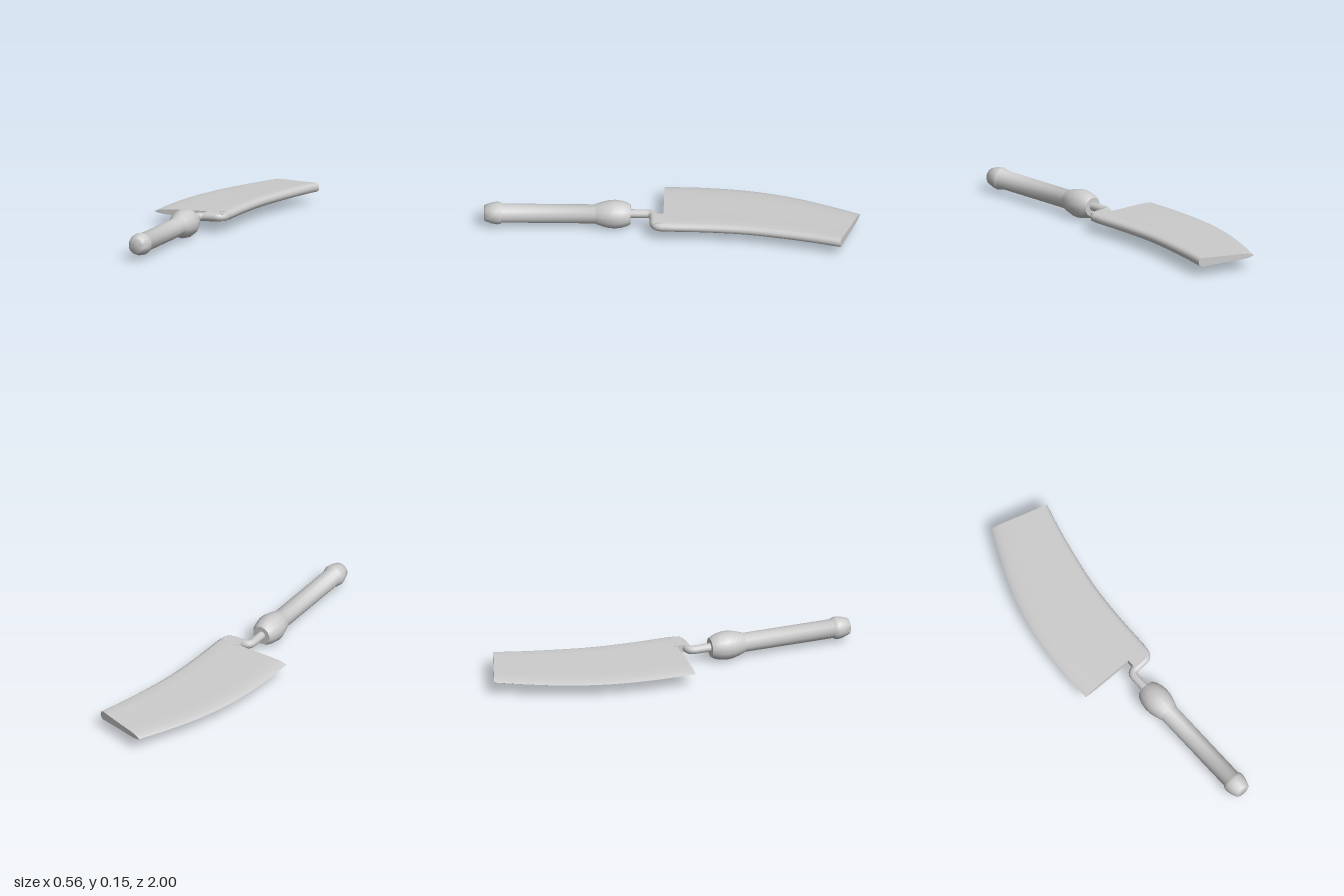
import * as THREE from 'three';
import { toCreasedNormals } from 'three/addons/utils/BufferGeometryUtils.js';

const material = new THREE.MeshStandardMaterial({ color: 0xcccccc });
const MID = 0.08; // height of the blade's middle plane

function add(group, name, geometry) {
  const mesh = new THREE.Mesh(geometry, material);
  mesh.name = name;
  group.add(mesh);
  return mesh;
}

const planCurve = (points) =>
  new THREE.CatmullRomCurve3(points.map(([x, z]) => new THREE.Vector3(x, MID, z)));

// Blade: wedge sections lofted between the cutting edge and the thick rounded spine
function bladeGeometry() {
  const edge = planCurve([[-0.285, 0.045], [-0.278, -0.18], [-0.25, -0.41], [-0.192, -0.63], [-0.115, -0.82], [-0.028, -1]]);
  const spine = planCurve([[0.145, 0.045], [0.15, -0.18], [0.167, -0.39], [0.197, -0.56], [0.237, -0.74], [0.28, -0.9]]);
  // [fraction from edge to spine, half thickness]
  const half = [[0, 0], [0.02, 0.004], [0.06, 0.009], [0.12, 0.013], [0.25, 0.016], [0.5, 0.018],
    [0.8, 0.022], [0.93, 0.025], [0.965, 0.022], [0.99, 0.014], [1, 0]];
  const ring = [...half, ...half.slice(1, -1).reverse().map(([u, h]) => [u, -h])];
  const n = ring.length, rows = 24;
  const positions = [], index = [];
  for (let i = 0; i <= rows; i++) {
    const a = edge.getPoint(i / rows), b = spine.getPoint(i / rows);
    for (const [u, h] of ring) {
      const p = a.clone().lerp(b, u);
      positions.push(p.x, p.y + h, p.z);
    }
  }
  for (let i = 0; i < rows; i++) {
    for (let j = 0; j < n; j++) {
      const a = i * n + j, b = i * n + (j + 1) % n;
      index.push(a, b, b + n, a, b + n, a + n);
    }
  }
  // flat ends
  for (const row of [0, rows]) {
    const c = edge.getPoint(row / rows).lerp(spine.getPoint(row / rows), 0.5);
    const centre = positions.length / 3;
    positions.push(c.x, c.y, c.z);
    for (let j = 0; j < n; j++) {
      const a = row * n + j, b = row * n + (j + 1) % n;
      if (row === 0) index.push(centre, b, a);
      else index.push(centre, a, b);
    }
  }
  const geometry = new THREE.BufferGeometry();
  geometry.setAttribute('position', new THREE.Float32BufferAttribute(positions, 3));
  geometry.setIndex(index);
  return toCreasedNormals(geometry, 0.9);
}

export function createModel() {
  const group = new THREE.Group();

  add(group, 'blade', bladeGeometry());

  // Heel: joins the blade to the tang beside the narrow slit
  const heel = add(group, 'heel', new THREE.BoxGeometry(0.105, 0.044, 0.06));
  heel.position.set(0.07, MID, 0.065);

  // Tang: bent rod from the spine across to the handle
  const v = (x, z) => new THREE.Vector3(x, MID, z);
  const path = new THREE.CurvePath();
  path.add(new THREE.LineCurve3(v(-0.013, 0.28), v(-0.013, 0.135)));
  path.add(new THREE.QuadraticBezierCurve3(v(-0.013, 0.135), v(-0.013, 0.1), v(0.022, 0.098)));
  path.add(new THREE.LineCurve3(v(0.022, 0.098), v(0.085, 0.095)));
  path.add(new THREE.QuadraticBezierCurve3(v(0.085, 0.095), v(0.12, 0.09), v(0.121, 0.045)));
  path.add(new THREE.LineCurve3(v(0.121, 0.045), v(0.121, -0.03)));
  add(group, 'tang', new THREE.TubeGeometry(path, 40, 0.023, 12));

  // Handle: turned grip with a bulging collar and a flared pommel, [radius, z]
  const profile = [[0, 0.22], [0.052, 0.22], [0.062, 0.235], [0.072, 0.265], [0.077, 0.3], [0.075, 0.335],
    [0.066, 0.37], [0.056, 0.4], [0.051, 0.41], [0.051, 0.905], [0.058, 0.912], [0.061, 0.93],
    [0.056, 0.96], [0.044, 0.994], [0.036, 1], [0, 1]];
  const lathe = new THREE.LatheGeometry(profile.map(([r, z]) => new THREE.Vector2(r, z)), 14);
  const handle = add(group, 'handle', toCreasedNormals(lathe, 0.9));
  handle.rotation.x = Math.PI / 2;
  handle.position.set(-0.011, 0.077, 0);

  return group;
}
